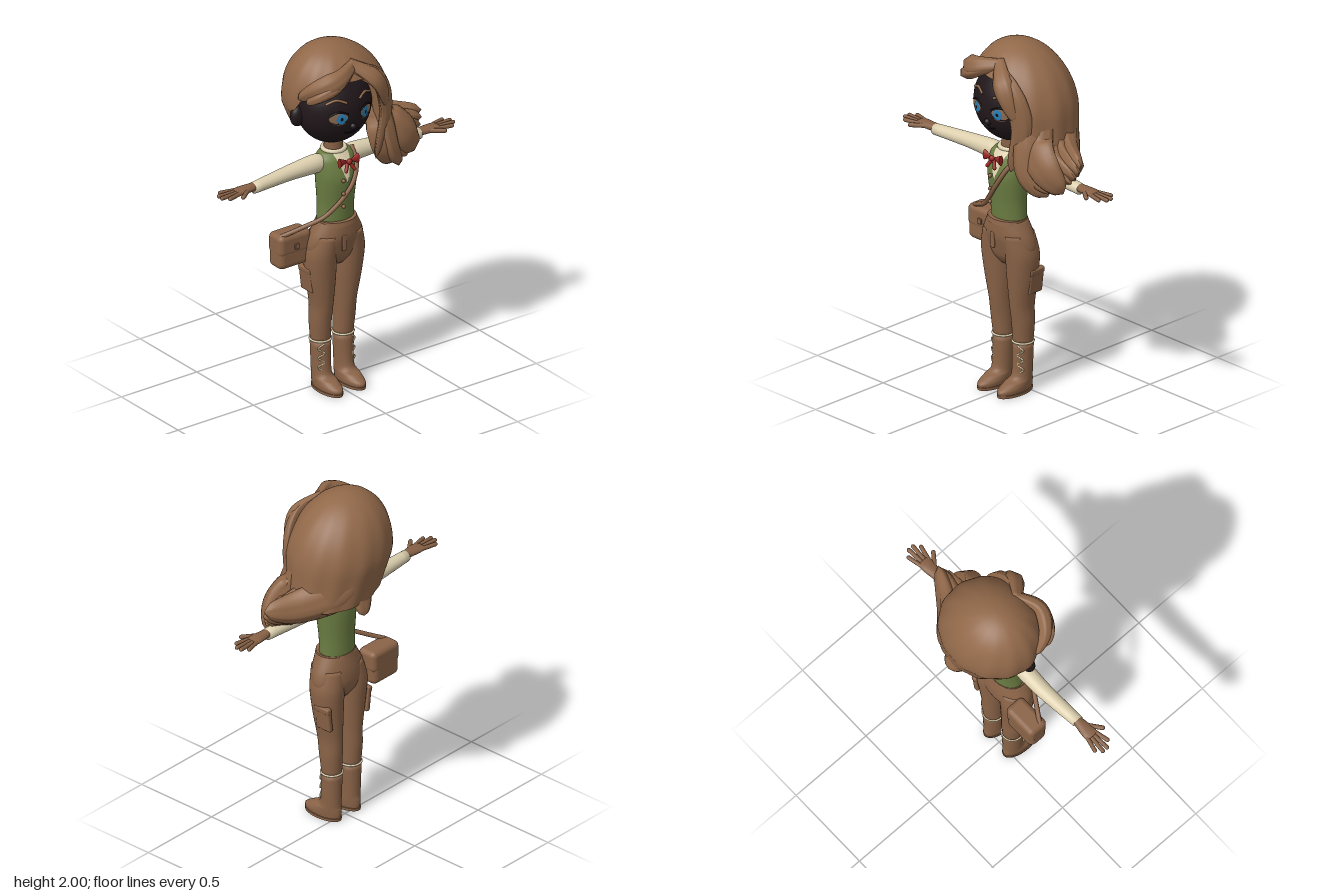
import * as THREE from 'three';
import { RoundedBoxGeometry } from 'three/addons/geometries/RoundedBoxGeometry.js';

const V = (x, y, z) => new THREE.Vector3(x, y, z);
const { lerp, clamp, degToRad } = THREE.MathUtils;
const mat = (name, color, side = THREE.FrontSide) => {
  const m = new THREE.MeshStandardMaterial({ color, side });
  m.name = name;
  return m;
};

// Skin a list of closed rings into one smooth surface, with optional end caps
function loft(rings, capped = true) {
  const n = rings[0].length, pos = [], idx = [];
  rings.forEach(r => r.forEach(p => pos.push(p.x, p.y, p.z)));
  for (let i = 0; i < rings.length - 1; i++) for (let j = 0; j < n; j++) {
    const a = i * n + j, b = i * n + (j + 1) % n;
    idx.push(a, b, b + n, a, b + n, a + n);
  }
  if (capped) [0, rings.length - 1].forEach((r, end) => {
    const c = V(0, 0, 0), k = pos.length / 3;
    rings[r].forEach(p => c.addScaledVector(p, 1 / n));
    pos.push(c.x, c.y, c.z);
    for (let j = 0; j < n; j++) {
      const a = r * n + j, b = r * n + (j + 1) % n;
      if (end) idx.push(a, b, k); else idx.push(b, a, k);
    }
  });
  const g = new THREE.BufferGeometry();
  g.setAttribute('position', new THREE.Float32BufferAttribute(pos, 3));
  g.setIndex(idx);
  g.computeVertexNormals();
  return g;
}

// Stack of ellipses; rows are [y, centreX, centreZ, radiusX, radiusZ]
function stack(rows, seg = 32) {
  const c = new THREE.CatmullRomCurve3(rows.map(r => V(r[1], r[0], r[2])), false, 'catmullrom', 0.4);
  const s = new THREE.CatmullRomCurve3(rows.map(r => V(r[3], r[4], 0)), false, 'catmullrom', 0.4);
  const n = (rows.length - 1) * 5, rings = [];
  for (let i = 0; i <= n; i++) {
    const p = c.getPoint(i / n), r = s.getPoint(i / n);
    rings.push(Array.from({ length: seg }, (_, j) => {
      const a = j / seg * Math.PI * 2;
      return V(p.x + Math.sin(a) * r.x, p.y, p.z + Math.cos(a) * r.y);
    }));
  }
  return loft(rings);
}

// Tapered lock of hair: path, flat-side normal, half width, half thickness
function lock(path, normal, w, t) {
  const curve = new THREE.CatmullRomCurve3(path), rings = [];
  for (let i = 0; i <= 20; i++) {
    const s = i / 20, p = curve.getPoint(s), T = curve.getTangent(s);
    const B = T.clone().cross(normal).normalize(), N = B.clone().cross(T).normalize();
    const k = (0.5 + 0.5 * Math.min(1, s * 2.2)) * Math.sqrt(Math.max(0.001, 1 - s ** 3.5));
    rings.push(Array.from({ length: 18 }, (_, j) => {
      const a = j / 18 * Math.PI * 2, groove = k * (1 + 0.09 * Math.cos(a * 6));
      return p.clone().addScaledVector(B, Math.cos(a) * w * groove).addScaledVector(N, Math.sin(a) * t * groove);
    }));
  }
  return loft(rings);
}

// Linear look-up in a table keyed by its first column
function lookUp(rows, x) {
  let i = 0;
  while (i < rows.length - 2 && x > rows[i + 1][0]) i++;
  const a = rows[i], b = rows[i + 1], t = clamp((x - a[0]) / (b[0] - a[0]), 0, 1);
  return a.map((v, k) => lerp(v, b[k], t));
}

const tube = (path, r) => new THREE.TubeGeometry(new THREE.CatmullRomCurve3(path), 40, r, 8);

function capsule(a, b, r) {
  const d = b.clone().sub(a), mid = a.clone().lerp(b, 0.5);
  return new THREE.CapsuleGeometry(r, d.length(), 5, 10)
    .applyQuaternion(new THREE.Quaternion().setFromUnitVectors(V(0, 1, 0), d.normalize()))
    .translate(mid.x, mid.y, mid.z);
}

const ball = (rx, ry, rz, x, y, z) => new THREE.SphereGeometry(1, 32, 24).scale(rx, ry, rz).translate(x, y, z);
const box = (w, h, d, r) => new RoundedBoxGeometry(w, h, d, 3, r);
const hoop = (R, r) => new THREE.TorusGeometry(R, r, 8, 32).rotateX(Math.PI / 2);

// Lay a flat geometry onto a surface z = f(x, y)
function drape(g, f, lift) {
  const p = g.attributes.position;
  for (let i = 0; i < p.count; i++) p.setZ(i, f(p.getX(i), p.getY(i)) + lift);
  g.computeVertexNormals();
  return g;
}

export function createModel() {
  const hair = mat('hair brown', 0x916849, THREE.DoubleSide), skin = mat('skin brown', 0x866045);
  const cloth = mat('leather brown', 0x8a6347), face = mat('face dark', 0x21171a);
  const green = mat('vest green', 0x6b7d42), cream = mat('cream', 0xdccfae);
  const red = mat('bow red', 0x9c2622), blue = mat('iris blue', 0x2880b8);
  const black = mat('pupil black', 0x0d0d12), tan = mat('eye tan', 0x8f6d52);
  const body = new THREE.Group();
  const add = (name, g, m) => {
    const mesh = new THREE.Mesh(g, m);
    mesh.name = name;
    body.add(mesh);
  };

  // Head and facial features
  const faceZ = (x, y) => 0.04 + 0.185 * Math.sqrt(Math.max(0, 1 - (x / 0.215) ** 2 - ((y - 1.66) / 0.22) ** 2));
  const disc = (x, y, rx, ry, lift) =>
    drape(new THREE.RingGeometry(0.001, 1, 28, 5).scale(rx, ry, 1).translate(x, y, 0), faceZ, lift);
  // Thin arched line on the face
  const arc = (x, y, half, rise, r) => tube([-1, 0, 1].map(k => {
    const px = x + k * half, py = y + rise * (1 - k * k);
    return V(px, py, faceZ(px, py) + 0.002);
  }), r);
  add('head', ball(0.215, 0.22, 0.185, 0, 1.66, 0.04), face);
  add('nose', ball(0.02, 0.02, 0.022, 0, 1.585, 0.213), face);
  add('mouth', arc(0, 1.555, 0.05, -0.012, 0.004), black);
  for (const s of [-1, 1]) {
    add('ear', ball(0.045, 0.06, 0.035, s * 0.215, 1.63, 0.01), face);
    add('eye', disc(s * 0.09, 1.652, 0.048, 0.03, 0.004), tan);
    add('iris', disc(s * 0.078, 1.648, 0.027, 0.031, 0.007), blue);
    add('pupil', disc(s * 0.078, 1.648, 0.008, 0.01, 0.009), black);
    add('upperLash', arc(s * 0.087, 1.668, 0.05, 0.02, 0.005), black);
    add('lowerLid', arc(s * 0.085, 1.618, 0.03, -0.006, 0.003), tan);
    add('brow', arc(s * 0.093, 1.732, 0.053, 0.02, 0.007), hair);
  }
  add('neck', new THREE.CylinderGeometry(0.047, 0.054, 0.15, 28).translate(0, 1.43, 0.04), skin);

  // Hair cap: a dome whose lower edge follows the hairline; rows are [degrees from front, y]
  const hairline = [[-180, 1.45], [-140, 1.48], [-90, 1.63], [-70, 1.76], [-20, 1.85], [10, 1.84], [50, 1.55], [80, 1.41], [180, 1.45]];
  const capRings = [];
  for (let i = 0; i <= 24; i++) capRings.push(Array.from({ length: 96 }, (_, j) => {
    const deg = j / 96 * 360 - 180, a = degToRad(deg), v = 1 - i / 24;
    const y = 2 - (2 - lookUp(hairline, deg)[1]) * (1 - Math.cos(v * Math.PI / 2));
    const up = Math.max(0, (y - 1.66) / 0.34), low = Math.max(0, 1.66 - y);
    const r = Math.sqrt(Math.max(0, 1 - up * up)) * (1 - low * 0.6) * (1 + 0.012 * v * Math.sin(a * 13 + v * 3));
    return V(0.055 - up * 0.05 + low * 0.25 + Math.sin(a) * 0.3 * r, y, -0.01 + Math.cos(a) * 0.265 * r);
  }));
  add('hairCap', loft(capRings, false), hair);

  // Fan of locks swept to one side, from the back (t = 0) to the front (t = 1)
  for (let i = 0; i < 7; i++) {
    const t = i / 6, a = degToRad(lerp(145, 55, t)), out = V(Math.sin(a), 0.25, Math.cos(a));
    add('sweptLock', lock([
      V(0.05 + out.x * 0.17, 1.78, out.z * 0.2),
      V(0.07 + out.x * 0.23, 1.57, out.z * 0.22),
      V(lerp(0.38, 0.29, t), lerp(1.46, 1.37, t), lerp(-0.03, 0.16, t)),
      V(0.56 - 0.19 * t * t, 1.46 - 0.22 * t, lerp(0.07, 0.13, t)),
    ], out, 0.1, 0.055), hair);
  }
  // Broad locks filling the front of the swept mass
  for (const k of [0, 1]) add('sideLock', lock([V(0.26, 1.7, 0.06), V(0.26, 1.52, 0.11), V(0.27 + k * 0.1, 1.4, 0.15),
    V(0.35 + k * 0.13, 1.25 + k * 0.04, 0.12)], V(0.2, 0, 1), 0.12, 0.07), hair);
  // Curtain beside the cheek, fringe on both sides of the parting, and nape tip
  add('cheekLock', lock([V(0.02, 1.9, 0.17), V(0.16, 1.82, 0.21), V(0.235, 1.62, 0.19), V(0.16, 1.34, 0.2)], V(0.6, 0, 1), 0.065, 0.03), hair);
  add('fringeLock', lock([V(0.02, 1.93, 0.15), V(0.14, 1.83, 0.235), V(0.22, 1.65, 0.22)], V(0.5, 0.3, 1), 0.055, 0.03), hair);
  add('napeLock', lock([V(0.08, 1.62, -0.23), V(0.1, 1.48, -0.215), V(0.13, 1.38, -0.255)], V(0.1, 0, -1), 0.07, 0.025), hair);
  for (const k of [0, 1])
    add('templeLock', lock([V(0.05, 1.91, 0.15), V(-0.09, 1.88 - k * 0.03, 0.21), V(-0.19, 1.83 - k * 0.03, 0.16 + k * 0.02),
      V(-0.24, 1.75, 0.05 + k * 0.07)], V(-0.3, 0.3, 1), 0.058 - k * 0.02, 0.042), hair);

  // Vest, shirt front, collar and buttons
  const torso = [[0.98, 0, 0.055, 0.108, 0.083], [1.1, 0, 0.058, 0.107, 0.088], [1.25, 0, 0.062, 0.119, 0.1],
    [1.35, 0, 0.05, 0.118, 0.085], [1.39, 0, 0.042, 0.085, 0.062]];
  add('vest', stack(torso, 40), green);
  const chestZ = (x, y) => {
    const [, , cz, rx, rz] = lookUp(torso, y);
    return cz + rz * Math.sqrt(Math.max(0, 1 - (x / rx) ** 2));
  };
  const vee = new THREE.PlaneGeometry(1, 0.16, 8, 16).translate(0, 1.31, 0), vp = vee.attributes.position;
  for (let i = 0; i < vp.count; i++) vp.setX(i, vp.getX(i) * (vp.getY(i) - 1.225) * 0.6);
  add('shirtFront', drape(vee, chestZ, 0.007), cream);
  add('collar', hoop(0.06, 0.013).translate(0, 1.395, 0.042), cream);
  for (let i = 0; i < 3; i++) add('button', ball(0.011, 0.011, 0.011, -0.028, 1.1 + i * 0.075, 0.168), cloth);

  // Bow tie: knot, two loops and two tails
  add('bowKnot', ball(0.016, 0.016, 0.014, 0, 1.363, 0.182), red);
  for (const s of [-1, 1]) {
    add('bowLoop', new THREE.ConeGeometry(0.03, 0.06, 14).scale(1, 1, 0.5).rotateZ(s * Math.PI / 2).translate(s * 0.032, 1.365, 0.175), red);
    add('bowTail', capsule(V(s * 0.008, 1.35, 0.175), V(s * 0.028, 1.315, 0.19), 0.01), red);
  }

  // Sleeves and hands, built along y and turned outward
  for (const s of [-1, 1]) {
    const turn = g => g.rotateZ(-s * Math.PI / 2).translate(0, 1.33, 0);
    add('sleeve', turn(stack([[0.07, 0, 0.045, 0.045, 0.045], [0.13, s * -0.005, 0.045, 0.052, 0.05],
      [0.3, 0, 0.045, 0.041, 0.044], [0.55, s * 0.008, 0.063, 0.031, 0.034]])), cream);
    add('hand', turn(stack([[0.53, 0, 0.063, 0.023, 0.024], [0.63, 0, 0.063, 0.019, 0.039], [0.67, 0, 0.063, 0.012, 0.037]])), skin);
    for (let i = 0; i < 4; i++)
      add('finger', turn(capsule(V(0, 0.65, 0.038 + i * 0.017), V(0, 0.735 + 0.035 * Math.sin(i * Math.PI / 3), 0.018 + i * 0.03), 0.0115)), skin);
    add('thumb', turn(capsule(V(0, 0.59, 0.075), V(0, 0.668, 0.135), 0.0125)), skin);
  }

  // Trousers: hips taper into the legs so the seat stays smooth
  add('hips', stack([[0.73, 0, 0.045, 0.08, 0.05], [0.78, 0, 0.045, 0.14, 0.085], [0.84, 0, 0.047, 0.174, 0.101],
    [0.91, 0, 0.057, 0.16, 0.107], [1, 0, 0.066, 0.113, 0.097]], 40), cloth);
  add('waistband', new THREE.CylinderGeometry(0.114, 0.12, 0.025, 40).scale(1, 1, 0.85).translate(0, 0.99, 0.066), cloth);
  add('beltTab', box(0.03, 0.09, 0.012, 0.005).translate(-0.018, 0.88, 0.161), cloth);
  for (const s of [-1, 1]) {
    const x = s * 0.075;
    add('trouserLeg', stack([[0.28, x, 0.025, 0.055, 0.055], [0.4, s * 0.079, 0.028, 0.06, 0.066], [0.5, s * 0.078, 0.035, 0.062, 0.073],
      [0.65, s * 0.086, 0.041, 0.08, 0.085], [0.8, s * 0.091, 0.045, 0.089, 0.097], [0.92, s * 0.07, 0.058, 0.08, 0.095]]), cloth);
    const pocket = (w, h, d, out, y) => box(w, h, d, 0.01).rotateZ(s * -0.12).translate(s * out, y, 0.012);
    add('cargoPocket', pocket(0.03, 0.14, 0.1, 0.153, 0.65), cloth);
    add('pocketFlap', pocket(0.034, 0.035, 0.104, 0.161, 0.71), cloth);

    // Boots with sole, trim and laces
    add('boot', stack([[0, x, 0.085, 0.05, 0.115], [0.035, x, 0.085, 0.055, 0.12], [0.065, x, 0.06, 0.054, 0.094],
      [0.1, x, 0.032, 0.051, 0.062], [0.285, x, 0.025, 0.057, 0.059]]), cloth);
    add('sole', new THREE.CylinderGeometry(0.058, 0.057, 0.016, 32).scale(1, 1, 2.1).translate(x, 0.008, 0.085), cloth);
    add('bootTrim', hoop(0.057, 0.006).translate(x, 0.285, 0.025), cream);
    add('laces', tube(Array.from({ length: 7 }, (_, i) =>
      V(s * (0.105 + (i % 2 ? 0.016 : -0.016)), 0.11 + i * 0.027, i % 2 ? 0.067 : 0.081)), 0.0045), cream);
  }

  // Shoulder bag and strap
  add('bag', box(0.205, 0.2, 0.118, 0.035).translate(-0.243, 0.85, -0.026), cloth);
  add('bagFlap', box(0.21, 0.125, 0.122, 0.03).translate(-0.241, 0.888, -0.025), cloth);
  add('buckle', box(0.028, 0.032, 0.012, 0.004).translate(-0.24, 0.877, 0.039), cloth);
  add('strap', tube([V(-0.32, 0.94, 0), V(-0.22, 0.99, 0.06), V(-0.11, 1.055, 0.125), V(0.02, 1.21, 0.172),
    V(0.075, 1.31, 0.145), V(0.105, 1.38, 0.06)], 0.013), cloth);

  // Turn the figure to face along +x
  body.name = 'figure';
  body.rotation.y = Math.PI / 2;
  const model = new THREE.Group();
  model.add(body);
  return model;
}
